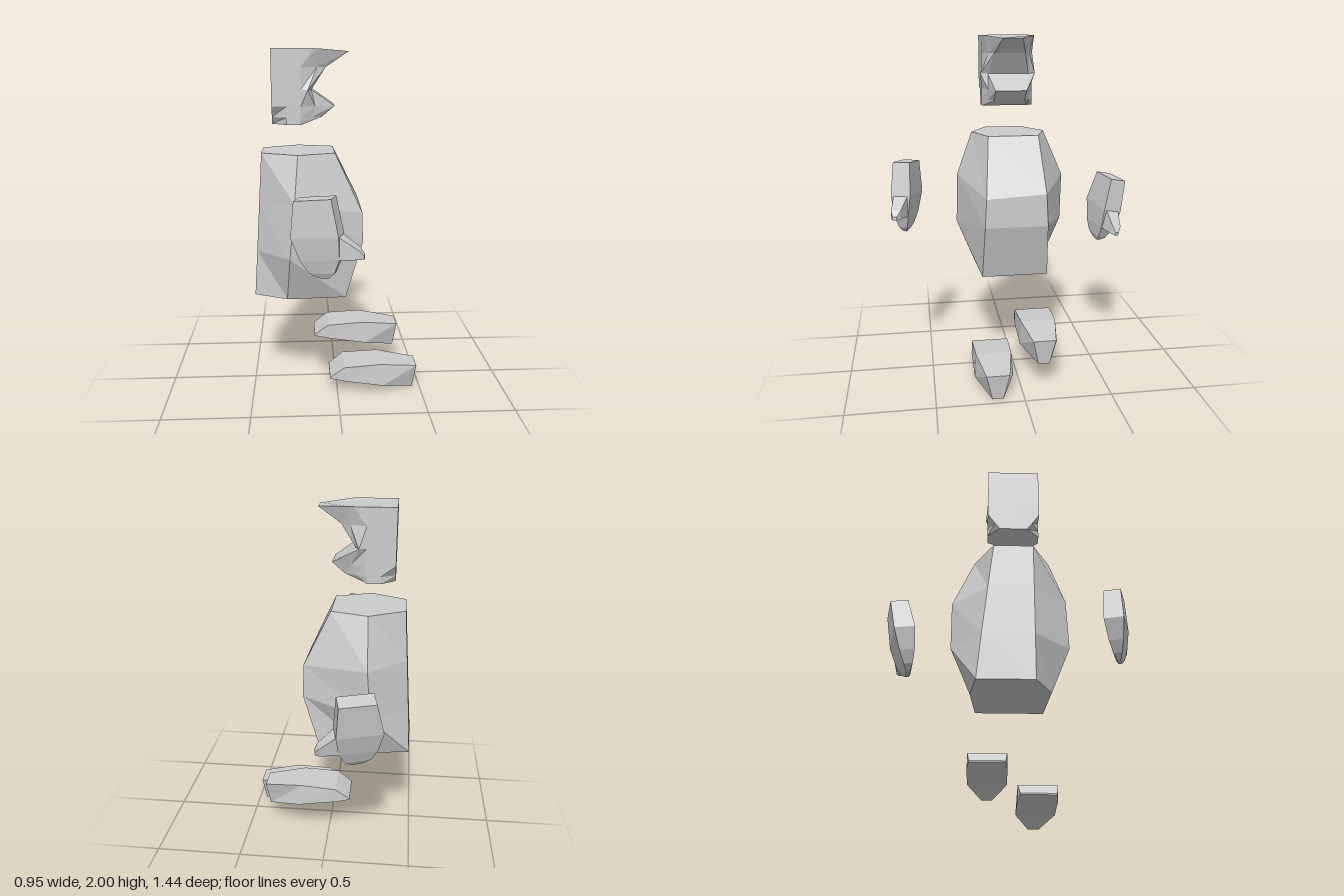
import * as THREE from 'three';

const material = new THREE.MeshStandardMaterial({ color: 0xcccccc, flatShading: true });

// Solid through equal-length loops of [x, y, z] corners, capped at both ends
function loft(name, rings) {
  const tris = [];
  const n = rings[0].length;
  for (let r = 0; r < rings.length - 1; r++) {
    for (let i = 0; i < n; i++) {
      const j = (i + 1) % n;
      const a = rings[r][i], b = rings[r][j], c = rings[r + 1][j], d = rings[r + 1][i];
      tris.push([a, b, c], [a, c, d]);
    }
  }
  const last = rings[rings.length - 1];
  for (let i = 1; i < n - 1; i++) {
    tris.push([rings[0][0], rings[0][i + 1], rings[0][i]], [last[0], last[i], last[i + 1]]);
  }
  // Turn the corners round if the solid came out inside out
  const v = (p) => new THREE.Vector3(...p);
  const volume = tris.reduce((s, [a, b, c]) => s + v(a).dot(v(b).cross(v(c))), 0);
  if (volume < 0) tris.forEach((t) => t.reverse());
  const geometry = new THREE.BufferGeometry();
  geometry.setAttribute('position', new THREE.Float32BufferAttribute(tris.flat(2), 3));
  geometry.computeVertexNormals();
  const mesh = new THREE.Mesh(geometry, material);
  mesh.name = name;
  return mesh;
}

// Head: each level lists one half from front to back as [x, z, lift], then mirrors it
function createHead() {
  const levels = [
    [2.0, [0.07, 0.055, -0.015], [-0.11, 0.148], [-0.13, 0.152], [-0.28, 0.152], [-0.36, 0.152]],
    [1.9, [-0.06, 0.09], [-0.11, 0.12], [-0.2, 0.152], [-0.28, 0.152], [-0.36, 0.152]],
    [1.78, [-0.14, 0.12], [-0.16, 0.163], [-0.2, 0.152], [-0.28, 0.152], [-0.36, 0.152]],
    [1.69, [-0.01, 0.09], [-0.12, 0.12], [-0.2, 0.152], [-0.28, 0.152], [-0.36, 0.152]],
    [1.63, [-0.08, 0.09], [-0.14, 0.12], [-0.2, 0.152], [-0.28, 0.152], [-0.36, 0.11]],
    [1.59, [-0.19, 0.12], [-0.2, 0.145], [-0.21, 0.152], [-0.28, 0.152], [-0.36, 0.08]],
  ];
  const rings = levels.map(([y, ...half]) => [
    ...half.map(([x, z, lift = 0]) => [x, y + lift, z]),
    ...half.slice().reverse().map(([x, z, lift = 0]) => [x, y + lift, -z]),
  ]);
  const head = loft('head', rings);
  head.position.z = 0.005;
  return head;
}

// Body: slightly twisted six-sided barrel with a flat back
function createBody() {
  return loft('body', [
    [[-0.01, 1.43, 0.14], [-0.01, 1.43, -0.155], [-0.22, 1.43, -0.222],
      [-0.425, 1.43, -0.11], [-0.425, 1.43, 0.115], [-0.22, 1.43, 0.22]],
    [[0.145, 1.09, 0.17], [0.145, 1.11, -0.18], [-0.23, 1.15, -0.345],
      [-0.443, 1.15, -0.14], [-0.443, 1.15, 0.115], [-0.24, 1.17, 0.31]],
    [[0.148, 0.92, 0.18], [0.148, 0.92, -0.19], [-0.25, 0.86, -0.342],
      [-0.462, 0.86, -0.17], [-0.462, 0.86, 0.115], [-0.27, 0.86, 0.318]],
    [[0.05, 0.59, 0.19], [0.05, 0.59, -0.205], [-0.26, 0.59, -0.23],
      [-0.475, 0.59, -0.195], [-0.48, 0.59, 0.115], [-0.29, 0.59, 0.21]],
  ]);
}

// Arm: flat mitten tapering downwards, with a thumb pointing forward
function createArm(name) {
  const arm = new THREE.Group();
  arm.name = name;
  const slab = (y0, y1, x0, x1, t) => [[x0, y0, -t], [x1, y1, -t], [x1, y1, t], [x0, y0, t]];
  const hand = loft('mitten', [
    slab(0.19, 0.21, -0.115, 0.08, 0.05),
    slab(0.0, 0.02, -0.13, 0.12, 0.058),
    slab(-0.12, -0.1, -0.085, 0.12, 0.042),
    slab(-0.185, -0.18, -0.045, 0.09, 0.025),
    slab(-0.213, -0.213, 0.0, 0.055, 0.01),
  ]);
  const post = (x, top, bottom, t) => [[x, top, -t], [x, top, t], [x, bottom, t], [x, bottom, -t]];
  const thumb = loft('thumb', [
    post(0.08, 0.04, -0.11, 0.04),
    post(0.13, 0.01, -0.1, 0.04),
    post(0.215, -0.045, -0.095, 0.028),
    post(0.24, -0.075, -0.095, 0.012),
  ]);
  arm.add(hand, thumb);
  return arm;
}

// Foot: pointed heel, broad middle and a toe narrowing towards the sole
function createFoot(name) {
  const section = (xTop, xSole, yTop, ySole, wTop, wSole) => [
    [xTop, yTop, wTop], [xTop, yTop, -wTop], [xSole, ySole, -wSole], [xSole, ySole, wSole],
  ];
  return loft(name, [
    section(-0.045, -0.045, 0.108, 0.1, 0.1, 0.1),
    section(0.04, 0.04, 0.172, 0.086, 0.11, 0.112),
    section(0.25, 0.27, 0.185, 0.052, 0.104, 0.114),
    section(0.475, 0.455, 0.155, 0.003, 0.066, 0.032),
  ]);
}

export function createModel() {
  const model = new THREE.Group();
  model.name = 'figure';

  const armA = createArm('nearArm');
  armA.position.set(-0.12, 1.075, 0.622);
  armA.rotation.y = -0.3;

  const armB = createArm('farArm');
  armB.position.set(-0.2, 0.935, -0.618);
  armB.rotation.set(-0.2, 0.22, -0.12);

  const footA = createFoot('nearFoot');
  footA.position.z = 0.15;

  const footB = createFoot('farFoot');
  footB.position.set(-0.085, 0.153, -0.13);

  model.add(createHead(), createBody(), armA, armB, footA, footB);
  return model;
}
